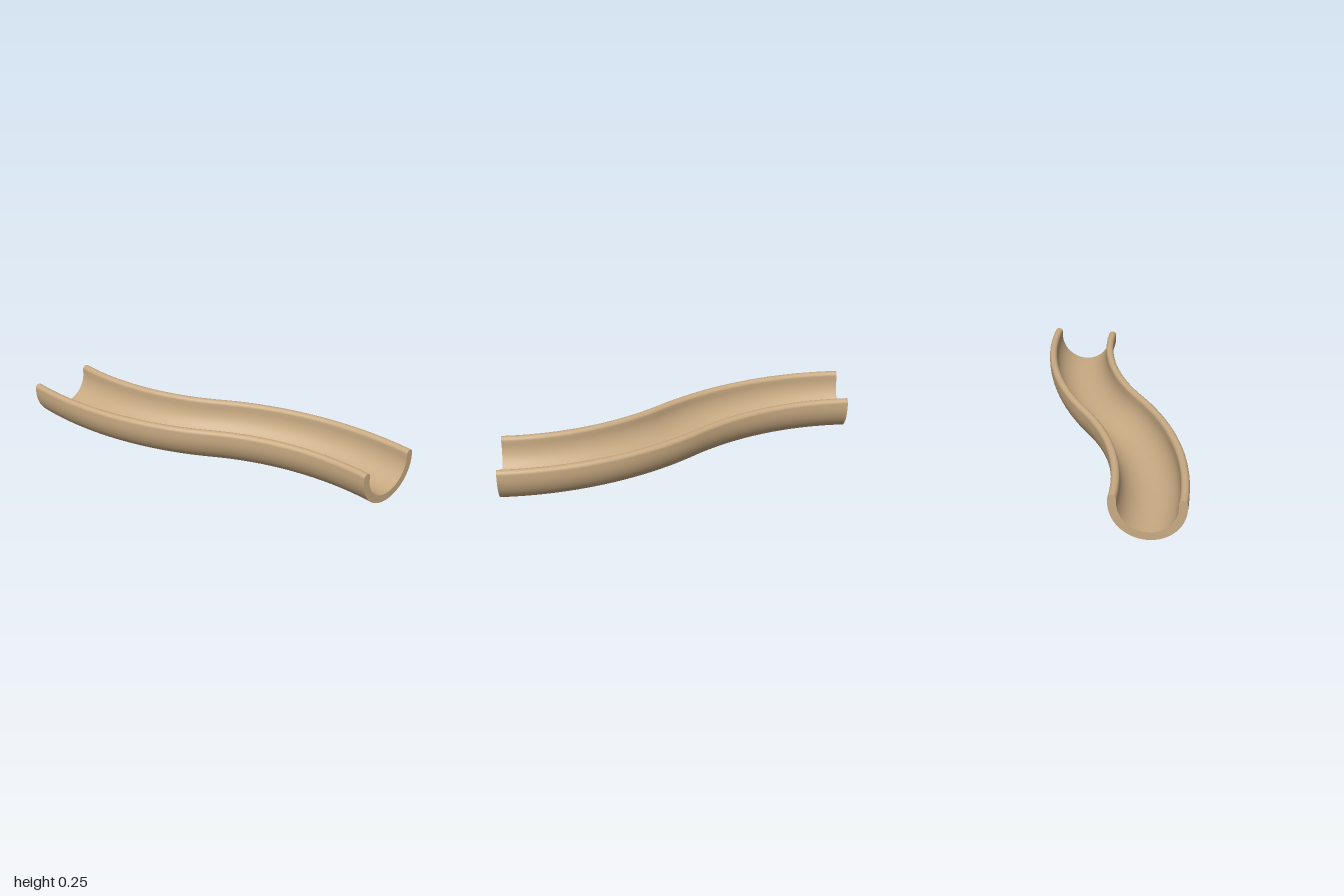
import * as THREE from 'three';

const OUTER = 0.2, INNER = 0.155, AXIS_Y = 0.2, LIP_Y = 0.223;
const LIP = (OUTER - INNER) / 2;
const BEND = 5 / 3;               // radius of both bends
const SWEEP = Math.asin(1 / BEND); // angle turned by each bend
const STEPS = 32;                 // stations per bend

// Points on an arc, both ends included
function arc(cx, cy, r, from, to, n) {
  return Array.from({ length: n + 1 }, (_, i) => {
    const a = from + (to - from) * i / n;
    return new THREE.Vector2(cx + r * Math.cos(a), cy + r * Math.sin(a));
  });
}

// U-shaped section with rounded lips, anticlockwise
function channelProfile() {
  const mid = INNER + LIP;
  return [
    ...arc(0, AXIS_Y, OUTER, Math.PI, 2 * Math.PI, 40),
    ...arc(mid, LIP_Y, LIP, 0, Math.PI, 12),
    ...arc(0, AXIS_Y, INNER, 0, -Math.PI, 40),
    ...arc(-mid, LIP_Y, LIP, 0, Math.PI, 12),
  ];
}

// Sweep the section through two opposite, tangent arcs
function sweepChannel(profile) {
  const positions = [], index = [], n = profile.length;
  const cz = BEND * Math.cos(SWEEP);
  for (let i = 0; i <= 2 * STEPS; i++) {
    const side = i < STEPS ? -1 : 1;
    const a = SWEEP * (1 - Math.abs(i - STEPS) / STEPS);
    const nx = -Math.sin(a), nz = -Math.cos(a);
    for (const p of profile) {
      const r = side * BEND + p.x;
      positions.push(side + r * nx, p.y, side * cz + r * nz);
    }
    if (i === 2 * STEPS) break;
    for (let j = 0; j < n; j++) {
      const k = (j + 1) % n;
      const a0 = i * n + j, b0 = i * n + k, a1 = a0 + n, b1 = b0 + n;
      index.push(a0, b0, b1, a0, b1, a1);
    }
  }
  const geometry = new THREE.BufferGeometry();
  geometry.setAttribute('position', new THREE.Float32BufferAttribute(positions, 3));
  geometry.setIndex(index);
  geometry.computeVertexNormals();
  return geometry;
}

export function createModel() {
  const group = new THREE.Group();
  group.name = 'curvedChannel';
  const wood = new THREE.MeshStandardMaterial({ color: 0xc8aa82 });
  wood.name = 'lightWood';

  const profile = channelProfile();
  const channel = new THREE.Mesh(sweepChannel(profile), wood);
  channel.name = 'channel';
  group.add(channel);

  // Flat faces closing the two ends of the wall
  for (const side of [-1, 1]) {
    const geometry = new THREE.ShapeGeometry(new THREE.Shape(profile));
    geometry.rotateY(side * Math.PI / 2);
    const end = new THREE.Mesh(geometry, wood);
    end.position.set(side, 0, -side * BEND * (1 - Math.cos(SWEEP)));
    end.name = side > 0 ? 'leftEnd' : 'rightEnd';
    group.add(end);
  }
  return group;
}
